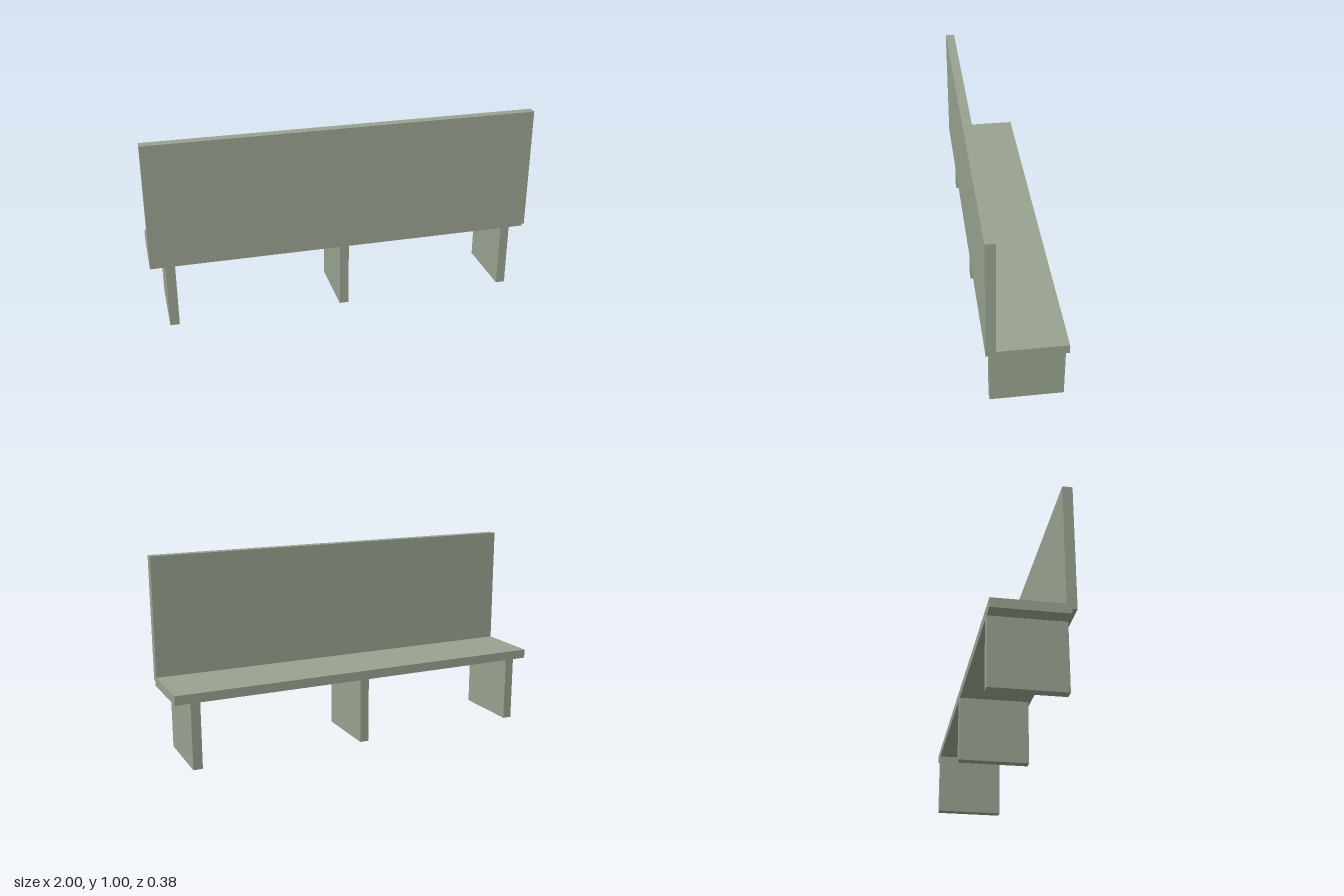
import * as THREE from 'three';

export function createModel() {
  const bench = new THREE.Group();
  bench.name = 'bench';
  const paint = new THREE.MeshStandardMaterial({ color: 0x98a290 });
  paint.name = 'sage green';

  // Box given by its lower and upper corners
  function slab(name, [x0, y0, z0], [x1, y1, z1]) {
    const mesh = new THREE.Mesh(new THREE.BoxGeometry(x1 - x0, y1 - y0, z1 - z0), paint);
    mesh.position.set((x0 + x1) / 2, (y0 + y1) / 2, (z0 + z1) / 2);
    mesh.name = name;
    bench.add(mesh);
  }

  // Tall panel, lapped halfway over the edge of the seat
  slab('backrest', [-1, 0.361, 0.145], [1, 1, 0.193]);

  // Long seat board
  slab('seat', [-1, 0.338, -0.192], [1, 0.385, 0.169]);

  // Three full-depth panel legs
  for (const [name, x] of [['rightLeg', -0.9], ['middleLeg', 0], ['leftLeg', 0.9]]) {
    slab(name, [x - 0.024, 0, -0.192], [x + 0.024, 0.338, 0.169]);
  }

  return bench;
}
